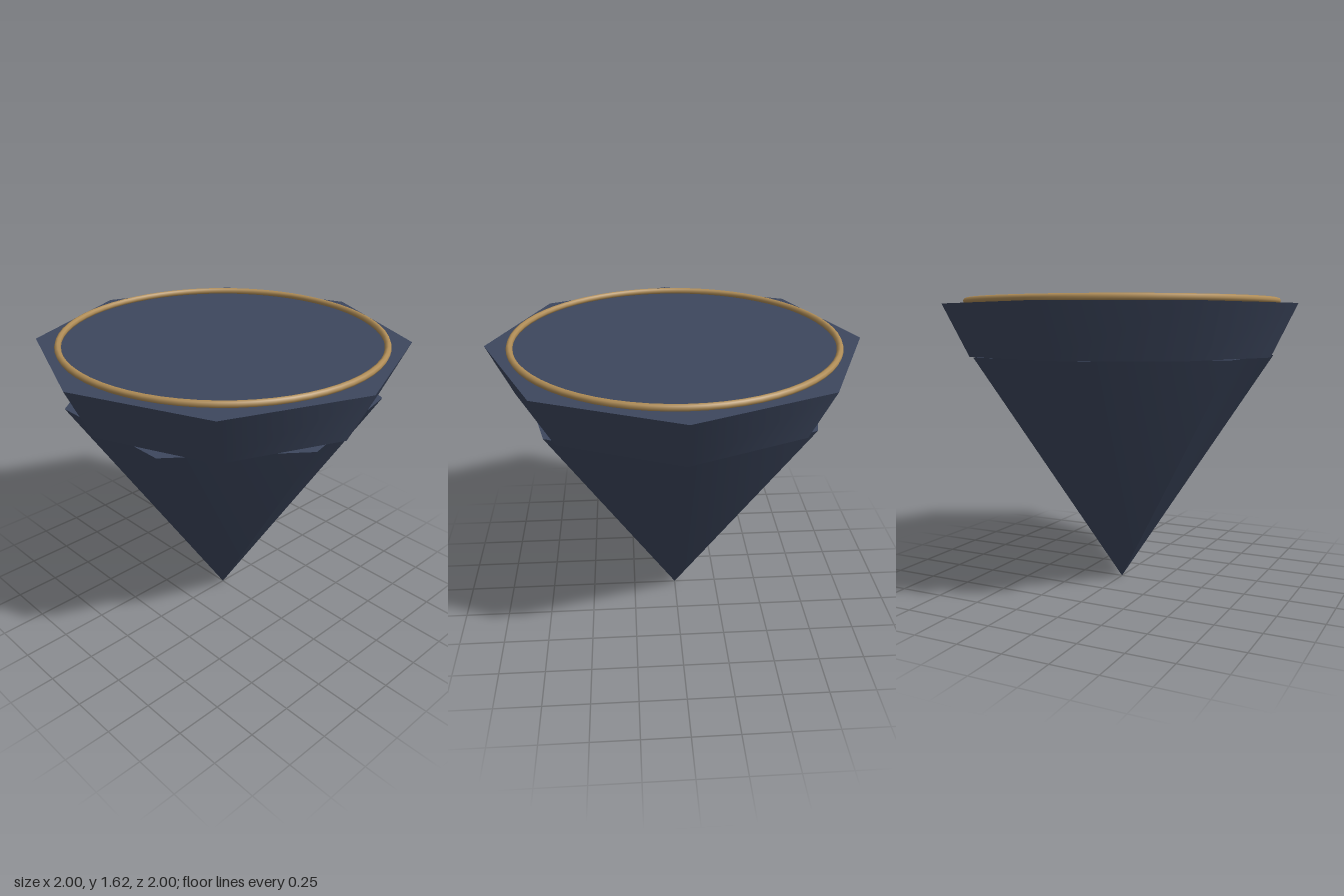
import * as THREE from 'three';

export function createModel() {
  const model = new THREE.Group();
  const slate = new THREE.MeshStandardMaterial({ color: 0x3d475e });
  slate.name = 'slate blue';
  const bronze = new THREE.MeshStandardMaterial({ color: 0xb08d57 });
  bronze.name = 'bronze';

  const add = (name, geometry, material, y, rotX = 0) => {
    const mesh = new THREE.Mesh(geometry, material);
    mesh.name = name;
    mesh.position.y = y;
    mesh.rotation.x = rotX;
    model.add(mesh);
  };

  const shoulderY = 1.303; // where the cone meets the slab
  const topY = 1.583;
  const tube = 0.0175;

  // Eight-sided slab flaring out to the flat top
  add('topSlab', new THREE.CylinderGeometry(1, 0.862, topY - shoulderY, 8), slate, (topY + shoulderY) / 2);
  // Seven-sided cone hanging point down
  add('lowerCone', new THREE.ConeGeometry(0.862, shoulderY, 7), slate, shoulderY / 2, Math.PI);
  // Ring lying on the flat top
  add('rimRing', new THREE.TorusGeometry(0.8625, tube, 8, 64), bronze, topY + tube, Math.PI / 2);

  return model;
}
